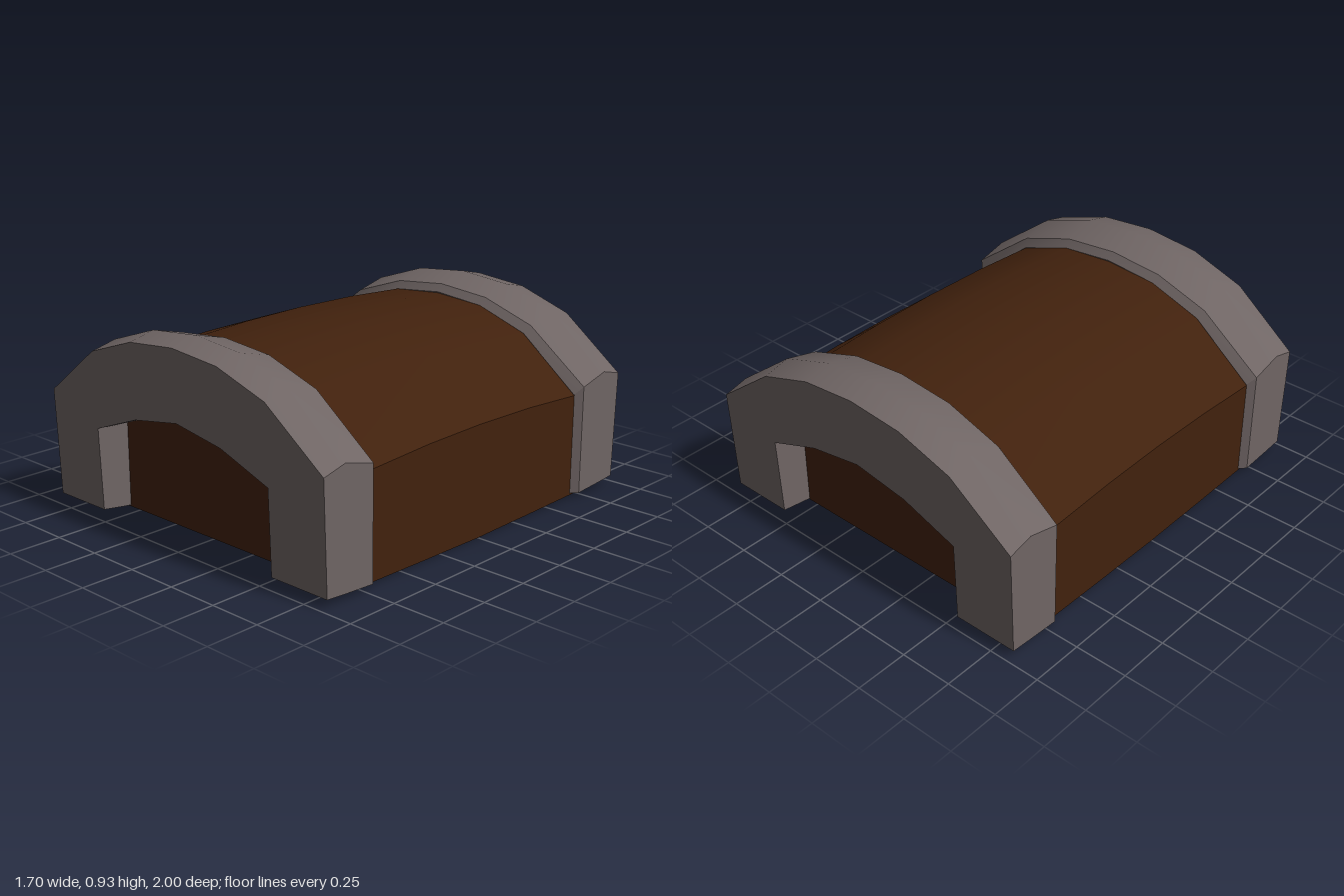
import * as THREE from 'three';
import { toCreasedNormals } from 'three/addons/utils/BufferGeometryUtils.js';

// Mirrors a half outline (x >= 0, ending at x = 0) into a full arch running from +x to -x.
const mirrorArch = half => [...half, ...half.slice(0, -1).reverse().map(([x, y]) => [-x, y])];

// Skins closed rings of [x, y, z] points, ordered counter-clockwise and by rising z, and caps both ends.
// With openBase the edge joining the last point to the first is left out.
function loft(rings, openBase = false) {
  const n = rings[0].length, index = [];
  for (let r = 0; r < rings.length - 1; r++) {
    for (let i = 0; i < (openBase ? n - 1 : n); i++) {
      const j = (i + 1) % n, a = r * n, b = a + n;
      index.push(a + i, a + j, b + j, a + i, b + j, b + i);
    }
  }
  const last = (rings.length - 1) * n;
  const outline = rings[0].map(([x, y]) => new THREE.Vector2(x, y));
  for (const [a, b, c] of THREE.ShapeUtils.triangulateShape(outline, [])) {
    index.push(a, c, b, last + a, last + b, last + c);
  }
  const geometry = new THREE.BufferGeometry();
  geometry.setAttribute('position', new THREE.Float32BufferAttribute(rings.flat(2), 3));
  geometry.setIndex(index);
  return toCreasedNormals(geometry, 0.55);
}

// One cross-section of an iron band; the outer end leans out towards the top.
function bandRing({ z, drop, inset, outerFoot, innerFoot, innerDrop, lean = 0 }) {
  const outer = mirrorArch([
    [0.85 - inset, outerFoot], [0.85 - inset, 0.575 - drop],
    [0.54 - inset * 0.6, 0.81 - drop], [0.27 - inset * 0.3, 0.9 - drop], [0, 0.925 - drop],
  ]);
  const inner = mirrorArch([
    [0.54, innerFoot], [0.54, 0.425 - innerDrop], [0.27, 0.525 - innerDrop], [0, 0.57 - innerDrop],
  ]).reverse();
  return [...outer, ...inner].map(([x, y]) => [x, y, z + lean * y]);
}

// One cross-section of the wooden vault.
function vaultRing(z) {
  const drop = 0.054 * z * z;
  const foot = 0.003 + 0.02 * z * z;
  return mirrorArch([
    [0.82, foot], [0.82, 0.52 - drop], [0.52, 0.76 - drop], [0.26, 0.85 - drop], [0, 0.87 - drop],
  ]).map(([x, y]) => [x, y, z]);
}

// Bottom rim with a rectangular opening, following the slight bow of the vault.
function rimGeometry() {
  const w = 0.82, d = 0.82, a = 0.53, b = 0.67;
  const points = list => list.map(([x, y]) => new THREE.Vector2(x, y));
  const shape = new THREE.Shape(points([[-w, -d], [0, -d], [w, -d], [w, 0], [w, d], [0, d], [-w, d], [-w, 0]]));
  shape.holes.push(new THREE.Path(points([[-a, -b], [-a, 0], [-a, b], [a, b], [a, 0], [a, -b]])));
  const geometry = new THREE.ExtrudeGeometry(shape, { depth: 0.08, bevelEnabled: false });
  geometry.rotateX(-Math.PI / 2);
  const p = geometry.attributes.position;
  for (let i = 0; i < p.count; i++) {
    const z = p.getZ(i);
    p.setX(i, p.getX(i) * 0.999);
    p.setZ(i, z * 0.999);
    p.setY(i, p.getY(i) + 0.02 * z * z);
  }
  geometry.computeVertexNormals();
  return geometry;
}

export function createModel() {
  const wood = new THREE.MeshStandardMaterial({ color: 0x41210d });
  wood.name = 'dark wood';
  const iron = new THREE.MeshStandardMaterial({ color: 0x6f6564 });
  iron.name = 'grey iron';

  const model = new THREE.Group();
  model.name = 'chestLid';
  const add = (name, geometry, material) => {
    const mesh = new THREE.Mesh(geometry, material);
    mesh.name = name;
    model.add(mesh);
    return mesh;
  };

  // Wooden vault, rim and recessed underside
  add('vault', loft([-0.82, -0.68, -0.34, 0, 0.34, 0.68, 0.82].map(vaultRing), true), wood);
  add('bottomRim', rimGeometry(), wood);
  const panel = add('recessedPanel', new THREE.BoxGeometry(1.2, 0.02, 1.5), wood);
  panel.position.y = 0.09;

  // Iron bands, one at each end
  const band = loft([
    { z: 0.68, drop: 0.075, inset: 0.03, outerFoot: 0.02, innerFoot: 0.005, innerDrop: 0.018 },
    { z: 0.71, drop: 0.04, inset: 0, outerFoot: 0.022, innerFoot: 0.007, innerDrop: 0.016 },
    { z: 0.87, drop: 0, inset: 0, outerFoot: 0.032, innerFoot: 0.026, innerDrop: 0.008 },
    { z: 0.97, drop: 0.03, inset: 0, outerFoot: 0.04, innerFoot: 0.04, innerDrop: 0, lean: 0.033 },
  ].map(bandRing));
  add('frontBand', band, iron);
  add('backBand', band, iron).rotation.y = Math.PI;

  return model;
}
